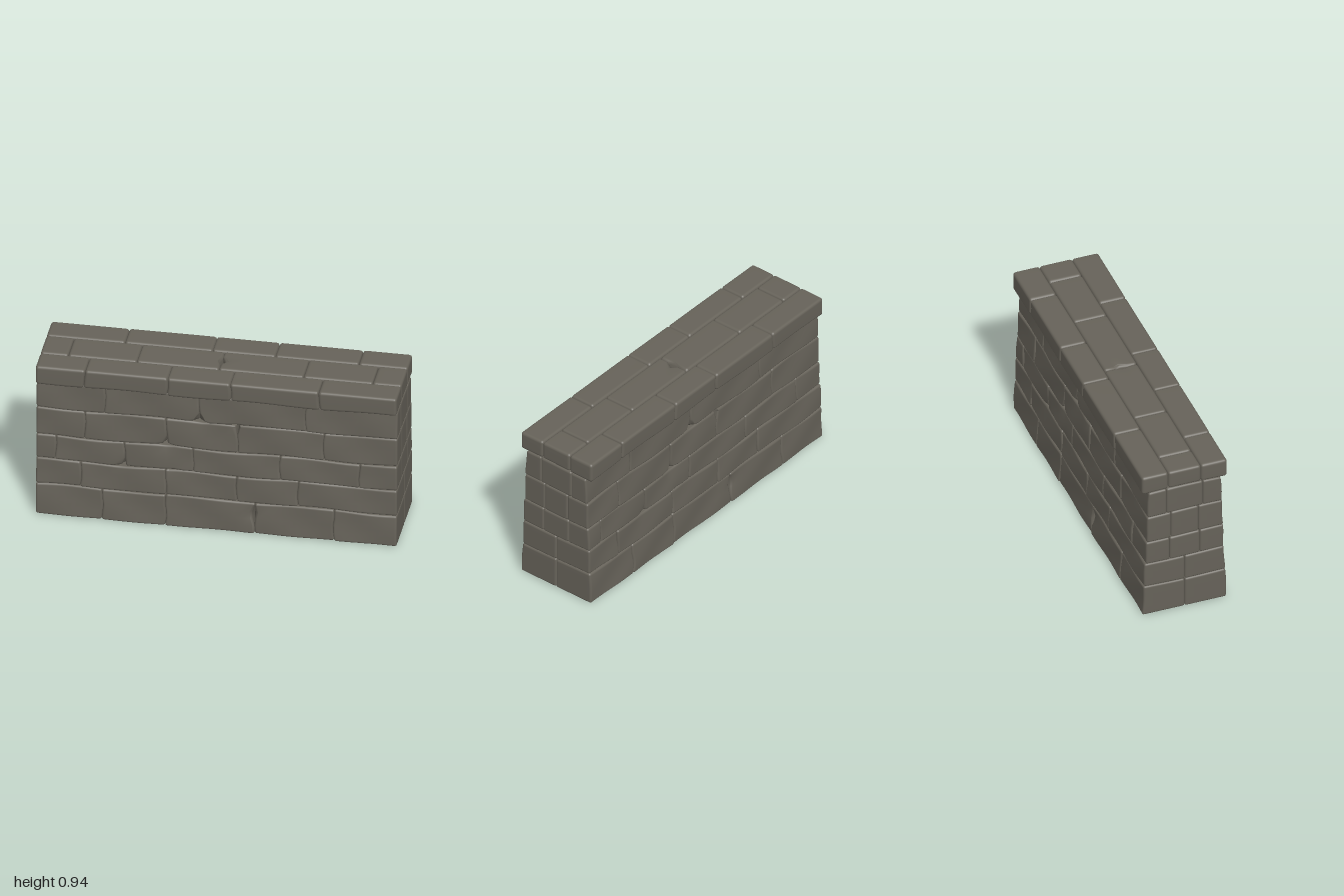
import * as THREE from 'three';
import { mergeVertices } from 'three/addons/utils/BufferGeometryUtils.js';

const stone = new THREE.MeshStandardMaterial({ color: 0x666259 });
stone.name = 'greyStone';

// Courses from the ground up: heights, vertical joints of the front face, z of the inner joint
const COURSES = [
  { name: 'footing', y: [0, 0.19], joints: [-0.63, -0.28, 0.21, 0.65], inner: 0 },
  { name: 'lowerCourse', y: [0.19, 0.345], joints: [-0.75, -0.28, 0.11, 0.45], inner: 0 },
  { name: 'middleCourse', y: [0.345, 0.492], joints: [-0.89, -0.51, -0.13, 0.35, 0.79], inner: 0.088, core: [-0.5, 0, 0.5] },
  { name: 'upperCourse', y: [0.492, 0.66], joints: [-0.73, -0.28, 0.115, 0.59], inner: 0.08, core: [-0.5, 0, 0.5] },
  { name: 'topCourse', y: [0.66, 0.823], joints: [-0.62, -0.1, 0.49], inner: 0.106, core: [-0.5, 0, 0.5] },
  { name: 'coping', y: [0.823, 0.935], joints: [-0.73, -0.27, 0.08, 0.57], inner: 0.095, core: [-0.85, -0.47, -0.01, 0.46, 0.84], cap: true },
];

// Chipped spots on the front face, repeated on the back by a half turn: x, y, z
const CHIPS = [
  [0.1, 0.64, 0.225], [0.21, 0.12, 0.25], [-0.52, 0.345, 0.24], [-0.25, 0.355, 0.24],
  [-0.28, 0.485, 0.23], [-0.1, 0.66, 0.22], [0.12, 0.935, 0.17],
];

let seed = 7;
const random = () => (seed = (seed * 16807) % 2147483647) / 2147483647;

// Grid lines along one edge: close together in the rounded rim, even between
function gridLines(half, r) {
  const n = Math.max(2, Math.round((half * 2) / 0.05));
  const lines = [-half, -half + r * 0.3, -half + r * 0.65];
  for (let i = 0; i <= n; i++) lines.push((half - r) * ((2 * i) / n - 1));
  return lines.concat([half - r * 0.65, half - r * 0.3, half]);
}

// One worn block between two corners
function block(name, min, max, cap, face) {
  const half = max.clone().sub(min).multiplyScalar(0.5);
  const mid = max.clone().add(min).multiplyScalar(0.5);
  const r = cap ? 0.017 : 0.013;
  const axes = ['x', 'y', 'z'];
  const lines = axes.map((a) => gridLines(half[a], r));
  const [nx, ny, nz] = lines.map((l) => l.length - 1);
  let geo = new THREE.BoxGeometry(1, 1, 1, nx, ny, nz);
  geo.deleteAttribute('uv');
  geo.deleteAttribute('normal');
  geo = mergeVertices(geo);

  const pos = geo.attributes.position;
  const p = new THREE.Vector3(), core = new THREE.Vector3();
  const inset = half.clone().subScalar(r);
  const phase = random() * 6, sink = random() * 0.005;
  for (let i = 0; i < pos.count; i++) {
    p.fromBufferAttribute(pos, i);
    axes.forEach((a, k) => { p[a] = lines[k][Math.round((p[a] + 0.5) * (lines[k].length - 1))]; });

    // Rounded edges
    core.copy(p).clamp(inset.clone().negate(), inset);
    p.sub(core).normalize().multiplyScalar(r).add(core).add(mid);

    // Battered outer face, with slight unevenness
    if (face) {
      const out = Math.max(0, (Math.abs(p.z) - face) / (0.25 - face));
      const outer = cap ? 0.25 - sink * 0.4
        : 0.25 - 0.046 * p.y - sink + 0.003 * Math.sin(p.x * 14 + p.y * 23 + phase);
      p.z = Math.sign(mid.z) * (Math.abs(p.z) + out * (outer - 0.25));
    }

    // Chips press the surface towards the middle of the block
    for (const [cx, cy, cz] of CHIPS) {
      const s = Math.sign(mid.z);
      const d = Math.hypot((p.x - s * cx) * 1.2, p.y - cy, p.z - s * cz);
      if (d < 0.04) p.lerp(mid, 0.13 * (1 - d / 0.04));
    }

    // Shared waviness keeps neighbouring joints closed
    const edge = Math.min(1, p.y / 0.1, (0.935 - p.y) / 0.05);
    const x = p.x, y = p.y;
    p.y += Math.max(0, edge) * 0.004 * Math.sin(x * 9 + p.z * 8 + y * 5);
    p.x += Math.min(1, (1 - Math.abs(x)) * 8) * 0.004 * Math.sin(y * 38 + x * 3);
    pos.setXYZ(i, p.x, p.y, p.z);
  }
  geo.computeVertexNormals();
  const mesh = new THREE.Mesh(geo, stone);
  mesh.name = name;
  return mesh;
}

// A row of blocks between two z planes
function row(group, course, name, joints, z0, z1, face) {
  const xs = [-1, ...joints, 1];
  for (let i = 0; i < xs.length - 1; i++) {
    group.add(block(`${name}Stone${i + 1}`,
      new THREE.Vector3(xs[i], course.y[0], z0),
      new THREE.Vector3(xs[i + 1], course.y[1], z1), course.cap, face));
  }
}

export function createModel() {
  const wall = new THREE.Group();
  wall.name = 'stoneWall';
  for (const course of COURSES) {
    const group = new THREE.Group();
    group.name = course.name;
    const inner = course.inner;
    const turned = course.joints.map((x) => -x).reverse();
    row(group, course, 'front', course.joints, inner, 0.25, inner || 0.001);
    row(group, course, 'back', turned, -0.25, -inner, inner || 0.001);
    if (course.core) row(group, course, 'core', course.core, -inner, inner, 0);
    wall.add(group);
  }
  return wall;
}
